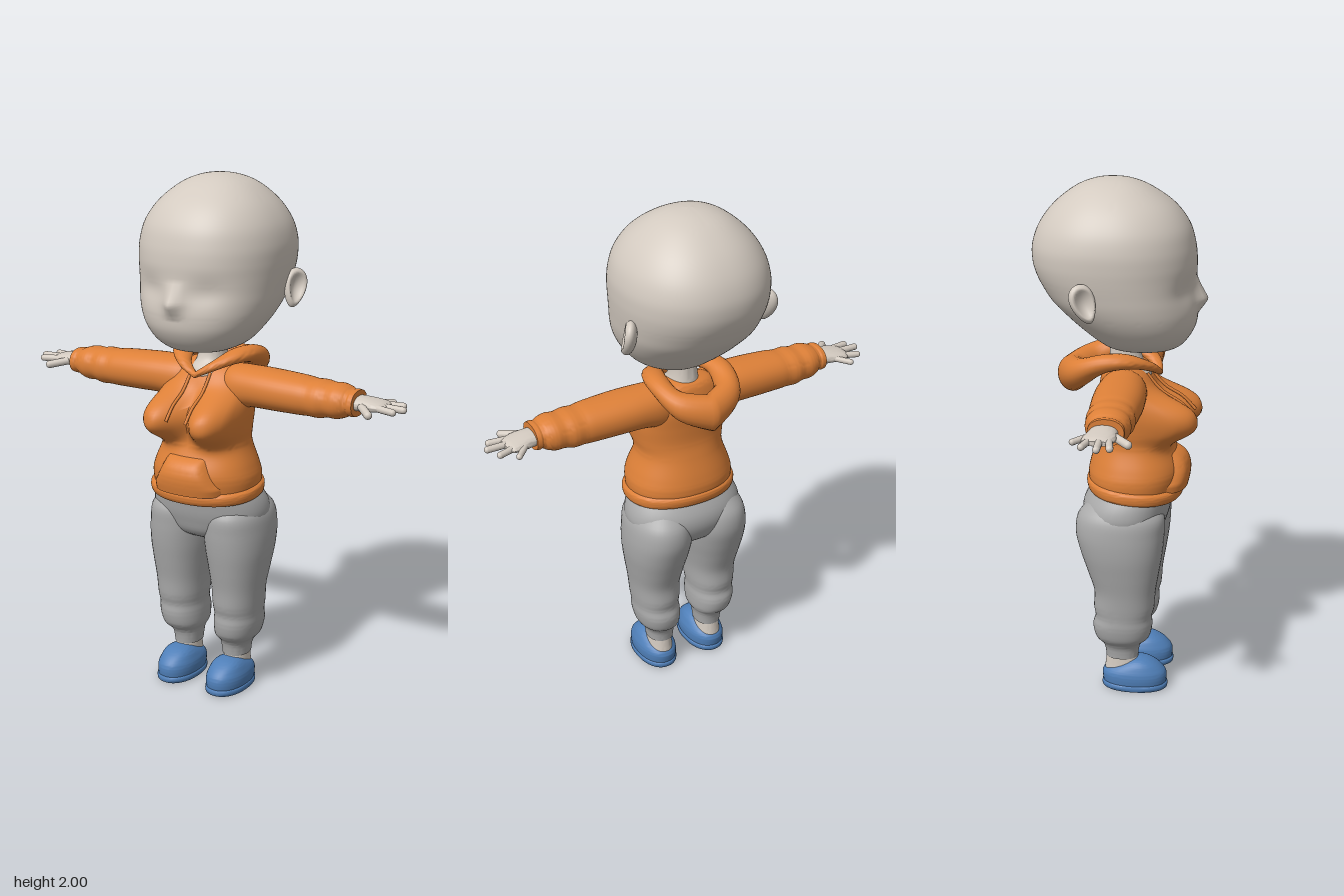
import * as THREE from 'three';
import { mergeVertices, toCreasedNormals } from 'three/addons/utils/BufferGeometryUtils.js';

const mat = (name, color) => Object.assign(new THREE.MeshStandardMaterial({ color }), { name });

// Grid surface from a rule; faces look along du x dv
function surface(nu, nv, fn, crease = 1.0) {
  const pos = [], idx = [];
  for (let j = 0; j <= nv; j++) for (let i = 0; i <= nu; i++) pos.push(...fn(i / nu, j / nv));
  for (let j = 0; j < nv; j++) for (let i = 0; i < nu; i++) {
    const a = j * (nu + 1) + i, b = a + nu + 1;
    idx.push(a, a + 1, b + 1, a, b + 1, b);
  }
  let g = new THREE.BufferGeometry();
  g.setAttribute('position', new THREE.Float32BufferAttribute(pos, 3));
  g.setIndex(idx);
  g = mergeVertices(g, 1e-5);
  return toCreasedNormals(g, crease);
}

// Smooth interpolation through rows of numbers, t in 0..1
function spline(rows, t) {
  const n = rows.length - 1, i = Math.min(n - 1, Math.floor(t * n)), f = t * n - i;
  const at = k => rows[Math.max(0, Math.min(n, k))];
  return rows[0].map((_, c) => {
    const [a, b, d, e] = [at(i - 1)[c], at(i)[c], at(i + 1)[c], at(i + 2)[c]];
    return b + 0.5 * f * (d - a + f * (2 * a - 5 * b + 4 * d - e + f * (3 * (b - d) + e - a)));
  });
}

const spow = (v, p) => Math.sign(v) * Math.abs(v) ** p;
const E = 2.2; // cross-section squareness

// Capped upright loft; rows are [y, halfWidth, zFront, zBack, xCentre]
function loft(rows, { seg = 40, steps = 5, mod, crease } = {}) {
  const n = (rows.length - 1) * steps;
  return surface(seg, n + 2, (u, v) => {
    const k = Math.round(v * (n + 2)) - 1, cap = k < 0 || k > n ? 0 : 1;
    const [y, w, zf, zb, cx = 0] = spline(rows, Math.max(0, Math.min(n, k)) / n);
    const a = (u === 1 ? 0 : u) * Math.PI * 2, c = Math.cos(a);
    const x = cx + cap * Math.max(0, w) * spow(Math.sin(a), 2 / E);
    const z = (zf + zb) / 2 + cap * (zf - zb) / 2 * spow(c, 2 / E);
    return mod ? mod(x, y, z, c) : [x, y, z];
  }, crease);
}

// Loft running sideways; rows are [x, yCentre, halfHeight, zFront, zBack]
const sideLoft = (rows, s) =>
  loft(rows.map(([x, y, h, zf, zb]) => [x, h, zf, zb, -s * y])).rotateZ(-s * Math.PI / 2);

const TORSO = [
  [0.80, 0.205, 0.225, -0.11], [0.87, 0.212, 0.24, -0.12], [0.92, 0.2, 0.235, -0.112],
  [1.0, 0.172, 0.2, -0.088], [1.06, 0.178, 0.185, -0.075], [1.13, 0.185, 0.17, -0.075],
  [1.2, 0.18, 0.145, -0.078], [1.26, 0.15, 0.115, -0.07], [1.3, 0.1, 0.07, -0.055],
  [1.315, 0.03, 0.02, -0.02]];
const bust = (x, y) => {
  const r2 = ((Math.abs(x) - 0.1) / 0.09) ** 2 + ((y - 1.11) / 0.087) ** 2;
  return 0.14 * Math.exp(-(r2 ** 1.5));
};
// Depth of the hoodie front at a point
function torsoFront(x, y) {
  let t = 0;
  while (t < 1 && spline(TORSO, t)[0] < y) t += 0.002;
  const [, w, zf, zb] = spline(TORSO, Math.min(1, t));
  const k = Math.max(0, 1 - (Math.abs(x) / w) ** E) ** (1 / E);
  return (zf + zb) / 2 + (zf - zb) / 2 * k + bust(x, y);
}

export function createModel() {
  const root = new THREE.Group();
  const skin = mat('skin', 0xd3cac0), orange = mat('hoodieOrange', 0xdd8038);
  const grey = mat('trouserGrey', 0xa9a9a9), blue = mat('shoeBlue', 0x4f7fb8);
  const add = (name, geo, m) => {
    const mesh = new THREE.Mesh(geo, m);
    mesh.name = name;
    root.add(mesh);
    return mesh;
  };

  // Head with a small pointed nose and shallow eye hollows
  add('head', loft([
    [1.355, 0.002, 0.09, 0.086], [1.358, 0.07, 0.155, 0.0], [1.37, 0.12, 0.215, -0.045],
    [1.4, 0.175, 0.252, -0.088], [1.45, 0.217, 0.282, -0.15], [1.5, 0.245, 0.291, -0.205],
    [1.55, 0.262, 0.291, -0.255], [1.6, 0.271, 0.287, -0.288], [1.65, 0.278, 0.285, -0.313],
    [1.7, 0.282, 0.285, -0.326], [1.76, 0.28, 0.278, -0.325], [1.83, 0.26, 0.256, -0.3],
    [1.9, 0.213, 0.203, -0.248], [1.96, 0.142, 0.118, -0.172], [1.99, 0.072, 0.045, -0.1],
    [2.0, 0.002, -0.025, -0.029]], {
    seg: 96, crease: 1.3, mod: (x, y, z, c) => {
      if (c > 0) {
        const ny = y > 1.555 ? 1 - (y - 1.555) / 0.085 : 1 - (1.555 - y) / 0.055;
        const eye = ((Math.abs(x) - 0.12) / 0.07) ** 2 + ((y - 1.6) / 0.05) ** 2;
        z += 0.04 * Math.max(0, ny) * Math.exp(-((x / 0.033) ** 2)) - 0.014 * Math.exp(-eye);
      }
      return [x, y, z];
    } }), skin);
  add('neck', loft([[1.18, 0.09, 0.09, -0.04], [1.25, 0.08, 0.118, -0.05], [1.28, 0.068, 0.115, -0.048],
    [1.31, 0.056, 0.088, -0.043], [1.35, 0.05, 0.078, -0.04], [1.41, 0.05, 0.078, -0.04]]), skin);

  // Hoodie body, hem band, pouch pocket
  add('hoodieBody', loft(TORSO, {
    seg: 72, steps: 7, crease: 1.3, mod: (x, y, z, c) => {
      const b = bust(x, y) * Math.min(1, Math.max(0, 2 * c));
      return [x + Math.sign(x) * b * 0.12, y, z + b];
    } }), orange);
  add('hoodieHem', loft([[0.795, 0.195, 0.215, -0.1], [0.797, 0.217, 0.235, -0.118], [0.815, 0.223, 0.246, -0.126],
    [0.835, 0.221, 0.246, -0.126], [0.845, 0.208, 0.232, -0.115]],
    { seg: 56, mod: (x, y, z) => [x, y - 0.08 * (z - 0.06), z] }), orange);
  add('pocket', surface(28, 20, (u, v) => {
    const k = u * 2 - 1, y = 0.825 + 0.143 * v;
    const s = Math.min(1, Math.max(0, (v - 0.2) / 0.8));
    const x = k * (0.148 - 0.068 * s ** 0.75);
    return [x, y, torsoFront(x, y) - 0.008 + 0.04 * (1 - k ** 8) * (1 - v ** 10)];
  }, 1.2), orange);

  // Hood folded around the neck: [x, y, z, radial radius, vertical radius]
  const HOOD = [
    [0, 1.265, 0.148, 0.014, 0.012], [0.06, 1.3, 0.122, 0.026, 0.019], [0.112, 1.33, 0.05, 0.042, 0.026],
    [0.13, 1.325, -0.04, 0.046, 0.036], [0.1, 1.28, -0.135, 0.053, 0.055], [0, 1.247, -0.185, 0.058, 0.072]];
  add('hood', surface(64, 20, (u, v) => {
    const [x, y, z, ra, rb] = spline(HOOD, u < 0.5 ? u * 2 : 2 - u * 2);
    const t = u * Math.PI * 2, a = v * Math.PI * 2, r = ra * Math.cos(a);
    return [(u < 0.5 ? x : -x) + Math.sin(t) * r, y + rb * Math.sin(a), z + Math.cos(t) * r];
  }, 1.3), orange);

  add('trouserSeat', loft([[0.6, 0.05, 0.08, -0.05], [0.64, 0.17, 0.16, -0.11], [0.7, 0.23, 0.188, -0.14],
    [0.76, 0.232, 0.202, -0.138], [0.82, 0.2, 0.205, -0.103], [0.85, 0.15, 0.15, -0.07]], { crease: 1.3 }), grey);

  for (const s of [1, -1]) {
    const side = s > 0 ? 'left' : 'right';

    // Ear: flattened ball with a hollow outer face
    const ear = new THREE.SphereGeometry(1, 32, 24), p = ear.attributes.position;
    for (let i = 0; i < p.count; i++) {
      const x = p.getX(i), y = p.getY(i), z = p.getZ(i);
      const dent = x > 0 ? 1.1 * Math.max(0, 1 - (y * y + z * z) / 0.6) : 0;
      p.setXYZ(i, (x - dent) * 0.03, y * 0.074, z * 0.058 * (0.78 + 0.22 * y));
    }
    if (s < 0) ear.rotateY(Math.PI);
    ear.rotateY(-s * 0.5).rotateX(-0.35);
    ear.computeVertexNormals();
    add(side + 'Ear', ear, skin).position.set(s * 0.285, 1.585, -0.095);

    // Drawstring lying on the chest
    const cord = [1.27, 1.24, 1.2, 1.16, 1.11].map(y =>
      new THREE.Vector3(s * 0.042, y, torsoFront(s * 0.042, y) + 0.004));
    add(side + 'Drawstring', new THREE.TubeGeometry(new THREE.CatmullRomCurve3(cord), 20, 0.006, 8), orange);

    // Sleeve with soft folds and a cuff
    add(side + 'Sleeve', sideLoft([
      [0.05, 1.215, 0.05, 0.07, -0.03], [0.1, 1.215, 0.082, 0.11, -0.06], [0.2, 1.223, 0.077, 0.122, -0.067],
      [0.3, 1.222, 0.075, 0.125, -0.066], [0.4, 1.219, 0.072, 0.12, -0.06], [0.44, 1.217, 0.069, 0.115, -0.056],
      [0.48, 1.217, 0.07, 0.118, -0.058], [0.515, 1.218, 0.064, 0.11, -0.05], [0.55, 1.219, 0.065, 0.113, -0.05],
      [0.58, 1.22, 0.057, 0.105, -0.04], [0.597, 1.221, 0.048, 0.096, -0.028], [0.61, 1.221, 0.05, 0.1, -0.032],
      [0.625, 1.221, 0.048, 0.098, -0.03]], s), orange);

    // Hand: palm and five spread fingers
    add(side + 'Palm', sideLoft([
      [0.6, 1.222, 0.027, 0.078, -0.018], [0.64, 1.221, 0.027, 0.078, -0.024], [0.68, 1.22, 0.023, 0.08, -0.034],
      [0.715, 1.219, 0.017, 0.072, -0.036], [0.735, 1.218, 0.009, 0.06, -0.02]], s), skin);
    [['Thumb', 0.645, 0.06, 0.705, 0.122, 0.015, 1.208], ['IndexFinger', 0.69, 0.055, 0.775, 0.07, 0.013, 1.216],
      ['MiddleFinger', 0.69, 0.025, 0.797, 0.028, 0.013, 1.218], ['RingFinger', 0.69, -0.005, 0.772, -0.028, 0.0125, 1.217],
      ['LittleFinger', 0.67, -0.02, 0.715, -0.066, 0.0115, 1.214]].forEach(([name, x0, z0, x1, z1, r, y1]) => {
      const a = new THREE.Vector3(s * x0, 1.22, z0), b = new THREE.Vector3(s * x1, y1, z1);
      const d = b.clone().sub(a);
      const f = add(side + name, new THREE.CapsuleGeometry(r, d.length(), 6, 14), skin);
      f.position.copy(a).add(b).multiplyScalar(0.5);
      f.quaternion.setFromUnitVectors(new THREE.Vector3(0, 1, 0), d.normalize());
    });

    // Baggy trouser leg gathered at the ankle
    add(side + 'TrouserLeg', loft([
      [0.13, 0.052, 0.085, -0.04, 0.112], [0.165, 0.056, 0.09, -0.045, 0.112], [0.19, 0.064, 0.1, -0.055, 0.115],
      [0.22, 0.083, 0.13, -0.08, 0.12], [0.27, 0.09, 0.142, -0.09, 0.125], [0.31, 0.089, 0.14, -0.08, 0.127],
      [0.35, 0.093, 0.15, -0.086, 0.127], [0.42, 0.098, 0.155, -0.085, 0.128], [0.5, 0.11, 0.168, -0.11, 0.128],
      [0.58, 0.122, 0.18, -0.137, 0.126], [0.66, 0.125, 0.186, -0.156, 0.122], [0.73, 0.113, 0.182, -0.146, 0.12],
      [0.78, 0.08, 0.13, -0.1, 0.11]].map(r => [...r.slice(0, 4), r[4] * s])), grey);

    // Foot, slip-on shoe and sole
    const cx = s * 0.113;
    add(side + 'Ankle', loft([[0.03, 0.045, 0.09, -0.04, cx], [0.07, 0.05, 0.1, -0.046, cx],
      [0.1, 0.047, 0.092, -0.043, cx], [0.16, 0.042, 0.078, -0.036, cx]]), skin);
    add(side + 'Shoe', loft([[0.015, 0.074, 0.195, -0.05, cx], [0.04, 0.077, 0.199, -0.054, cx],
      [0.065, 0.076, 0.197, -0.054, cx], [0.085, 0.069, 0.184, -0.035, cx], [0.105, 0.058, 0.16, 0.01, cx],
      [0.12, 0.04, 0.13, 0.045, cx], [0.127, 0.012, 0.1, 0.075, cx]]), blue);
    add(side + 'Sole', loft([[0, 0.074, 0.195, -0.05, cx], [0.006, 0.079, 0.202, -0.056, cx],
      [0.022, 0.079, 0.202, -0.056, cx], [0.026, 0.075, 0.197, -0.052, cx]], { steps: 2 }), blue);
  }
  return root;
}
